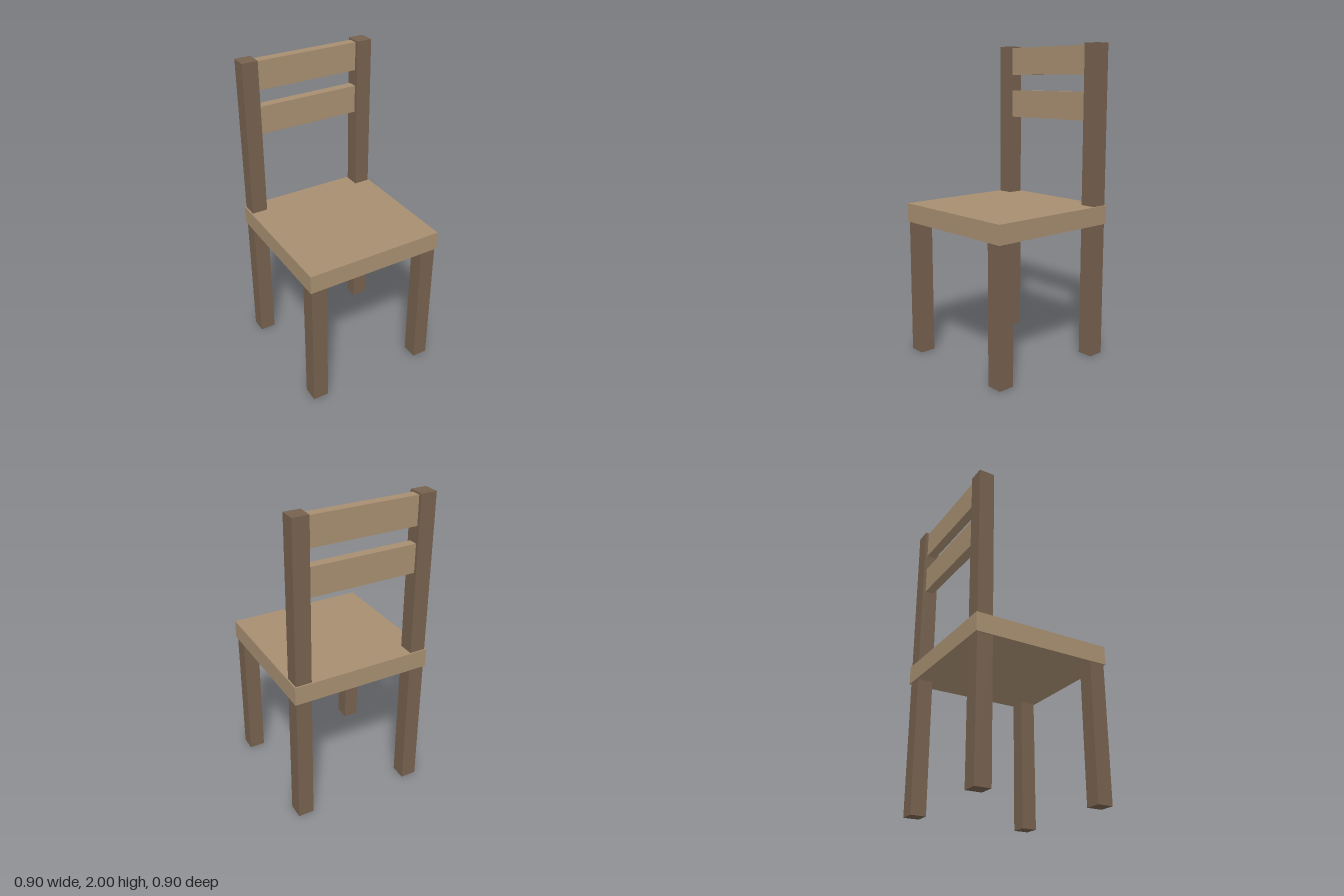
import * as THREE from 'three';

export function createModel() {
  const chair = new THREE.Group();
  chair.name = 'chair';

  const lightWood = new THREE.MeshStandardMaterial({ color: 0xa78e71 });
  lightWood.name = 'light wood';
  const darkWood = new THREE.MeshStandardMaterial({ color: 0x76614e });
  darkWood.name = 'dark wood';

  // Box standing on y = bottom
  function addBox(name, material, [w, h, d], [x, bottom, z]) {
    const mesh = new THREE.Mesh(new THREE.BoxGeometry(w, h, d), material);
    mesh.name = name;
    mesh.position.set(x, bottom + h / 2, z);
    chair.add(mesh);
  }

  const seatBottom = 0.87, seatTop = 0.99, seatWidth = 0.904;
  const legWidth = 0.102, legOffset = 0.392;

  // Seat slab
  addBox('seat', lightWood, [seatWidth, seatTop - seatBottom, seatWidth], [0, seatBottom, 0]);

  // Front legs stop under the seat, back posts rise above it
  for (const [side, sign] of [['left', 1], ['right', -1]]) {
    const x = sign * legOffset;
    addBox(`${side}FrontLeg`, darkWood, [legWidth, seatBottom, legWidth], [x, 0, legOffset]);
    addBox(`${side}BackLeg`, darkWood, [legWidth, seatBottom, legWidth], [x, 0, -legOffset]);
    addBox(`${side}BackPost`, darkWood, [legWidth, 2 - seatTop, legWidth], [x, seatTop, -legOffset]);
  }

  // Backrest slats between the posts
  const slatWidth = 2 * legOffset - legWidth;
  addBox('upperSlat', lightWood, [slatWidth, 0.181, 0.06], [0, 1.809, -0.394]);
  addBox('lowerSlat', lightWood, [slatWidth, 0.181, 0.06], [0, 1.522, -0.394]);

  return chair;
}
